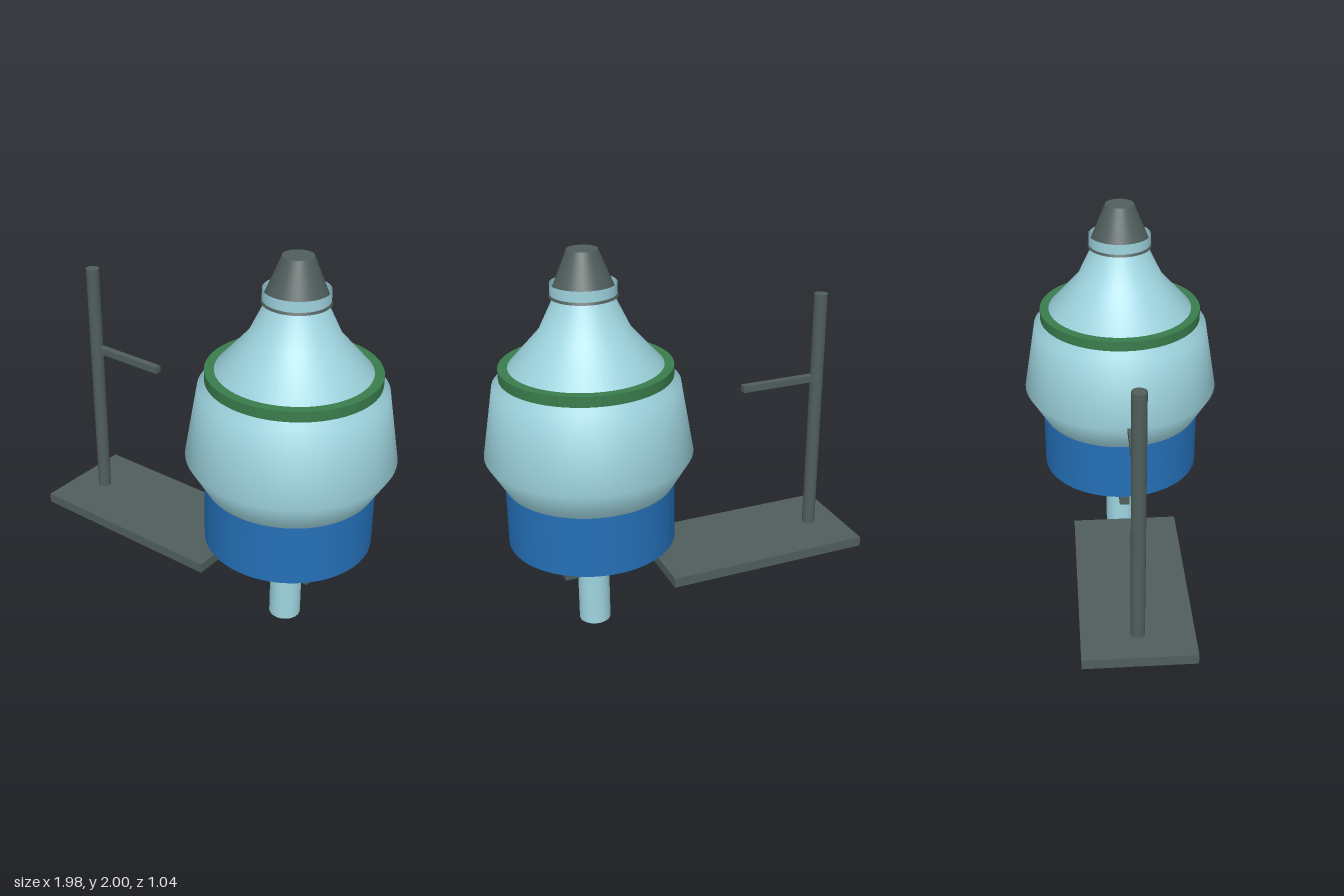
import * as THREE from 'three';

export function createModel() {
  const model = new THREE.Group();
  model.name = 'separatingFunnelWithStand';

  const material = (name, color) => {
    const m = new THREE.MeshStandardMaterial({ color });
    m.name = name;
    return m;
  };
  const glass = material('pale blue glass', 0x9fd5e0);
  glass.side = THREE.DoubleSide;
  const dark = material('dark grey', 0x505e5c);
  const blue = material('blue liquid', 0x2470b8);
  const green = material('green ring', 0x3a7d4c);

  const add = (parent, name, geometry, mat, x, y, z = 0) => {
    const mesh = new THREE.Mesh(geometry, mat);
    mesh.name = name;
    mesh.position.set(x, y, z);
    parent.add(mesh);
    return mesh;
  };
  // Upright cylinder placed by its bottom and top heights
  const cylinder = (parent, name, mat, x, y0, y1, r0, r1 = r0, open = false) =>
    add(parent, name, new THREE.CylinderGeometry(r1, r0, y1 - y0, 64, 1, open), mat, x, (y0 + y1) / 2);
  const lathe = (parent, name, mat, points) =>
    add(parent, name, new THREE.LatheGeometry(points.map(([r, y]) => new THREE.Vector2(r, y)), 64), mat, 0, 0);

  // Funnel: open glass shell with its contents and fittings
  const funnel = new THREE.Group();
  funnel.name = 'funnel';
  funnel.position.x = 0.467;
  model.add(funnel);

  cylinder(funnel, 'stem', glass, 0, 0, 0.475, 0.082, 0.082, true);
  lathe(funnel, 'glassBody', glass, [
    [0.082, 0.473], [0.12, 0.5], [0.4, 0.775], [0.52, 0.98],
    [0.459, 1.345], [0.2235, 1.607], [0.14, 1.782],
  ]);
  cylinder(funnel, 'neckCollar', glass, 0, 1.787, 1.842, 0.16, 0.16, true);
  cylinder(funnel, 'lowerLiquid', blue, 0, 0.5, 0.82, 0.425);
  cylinder(funnel, 'upperRing', green, 0, 1.382, 1.435, 0.425);
  cylinder(funnel, 'stopper', dark, 0, 1.777, 2, 0.165, 0.074);
  add(funnel, 'tapHandle', new THREE.BoxGeometry(0.315, 0.048, 0.055), dark, 0, 0.283, 0.014);

  // Stand: base plate, upright rod and side arm
  const stand = new THREE.Group();
  stand.name = 'stand';
  model.add(stand);
  add(stand, 'standBase', new THREE.BoxGeometry(1.109, 0.053, 0.556), dark, -0.435, 0.272);
  cylinder(stand, 'standRod', dark, -0.818, 0.28, 1.635, 0.035);
  add(stand, 'standArm', new THREE.BoxGeometry(0.44, 0.036, 0.036), dark, -0.6, 1.172);

  return model;
}
